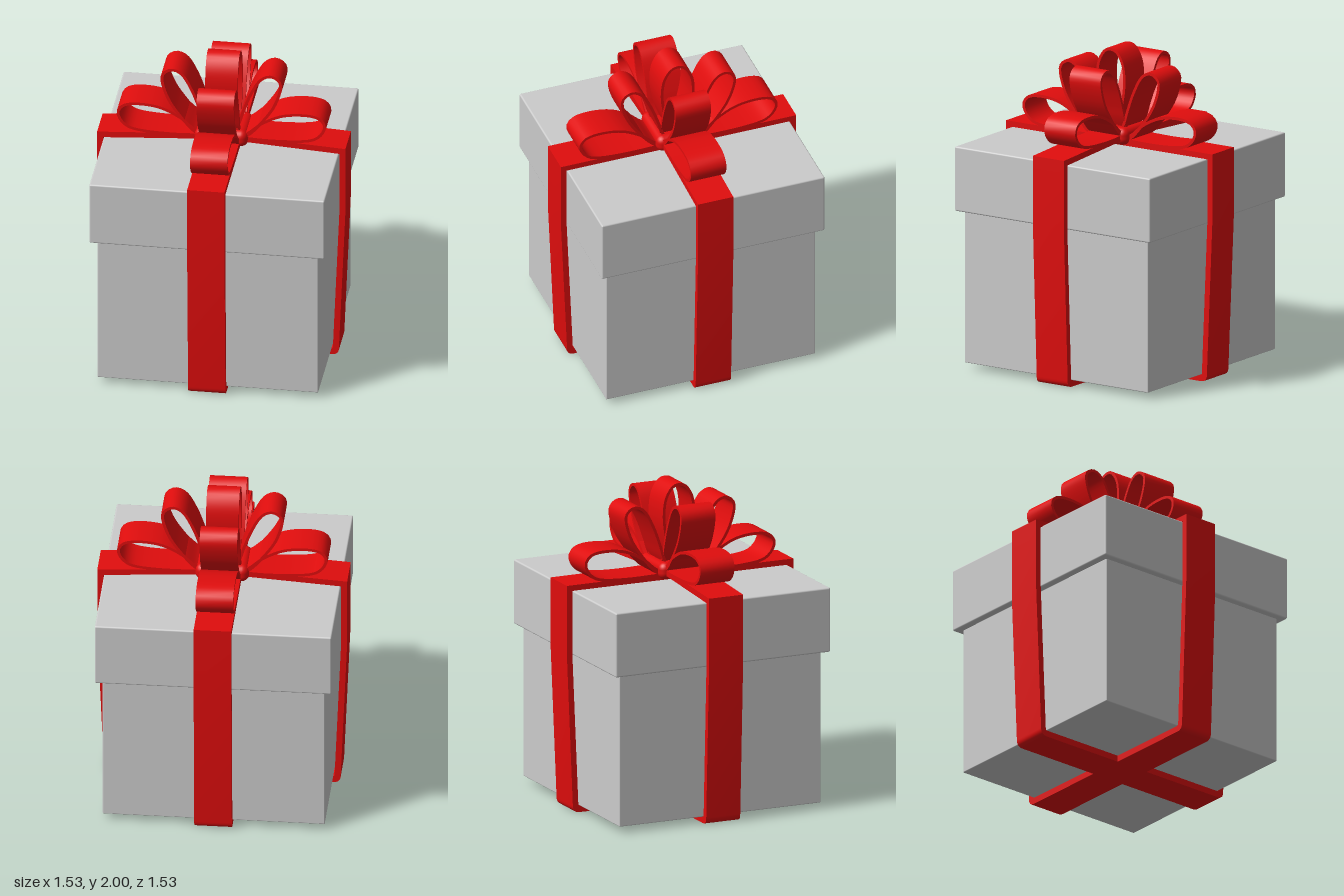
import * as THREE from 'three';
import { toCreasedNormals } from 'three/addons/utils/BufferGeometryUtils.js';
import { RoundedBoxGeometry } from 'three/addons/geometries/RoundedBoxGeometry.js';

const grey = new THREE.MeshStandardMaterial({ color: 0xcccccc });
const red = new THREE.MeshStandardMaterial({ color: 0xe00d0d });

function addMesh(parent, name, geometry, material) {
  const mesh = new THREE.Mesh(geometry, material);
  mesh.name = name;
  parent.add(mesh);
  return mesh;
}

function roundedBox(parent, name, w, h, d, r, bottom, material) {
  const mesh = addMesh(parent, name, new RoundedBoxGeometry(w, h, d, 3, r), material);
  mesh.position.y = bottom + h / 2;
  return mesh;
}

// Extrudes a shape in the xy plane, centred on z = 0
function extrude(shape, width) {
  const g = new THREE.ExtrudeGeometry(shape, { depth: width, bevelEnabled: false, curveSegments: 6 });
  g.translate(0, 0, -width / 2);
  return toCreasedNormals(g, 0.6);
}

// Thin ribbon of even thickness along a smooth open path
function ribbon(points, width, thickness = 0.018) {
  const curve = new THREE.SplineCurve(points.map(([x, y]) => new THREE.Vector2(x, y)));
  const outer = [], inner = [], n = 48;
  for (let i = 0; i <= n; i++) {
    const p = curve.getPointAt(i / n), t = curve.getTangentAt(i / n);
    const normal = new THREE.Vector2(-t.y, t.x).multiplyScalar(thickness / 2);
    outer.push(p.clone().add(normal));
    inner.unshift(p.clone().sub(normal));
  }
  return extrude(new THREE.Shape([...outer, ...inner]), width);
}

// Outline of the band around the box: half widths at lid and foot, rounded foot corners
function bandOutline(path, lid, foot, bottom, top, peak, r) {
  path.moveTo(-lid, top);
  path.lineTo(-lid, 1.0);
  path.lineTo(-foot, bottom + r);
  path.quadraticCurveTo(-foot, bottom, -foot + r, bottom);
  path.lineTo(foot - r, bottom);
  path.quadraticCurveTo(foot, bottom, foot, bottom + r);
  path.lineTo(lid, 1.0);
  path.lineTo(lid, top);
  path.lineTo(0.16, peak);
  path.lineTo(-0.16, peak);
  path.closePath();
  return path;
}

function band(rise) {
  const shape = bandOutline(new THREE.Shape(), 0.765, 0.725, 0.005, 1.44, 1.441 + rise, 0.045);
  shape.holes.push(bandOutline(new THREE.Path(), 0.728, 0.688, 0.046, 1.404, 1.405 + rise, 0.012));
  return extrude(shape, 0.23);
}

export function createModel() {
  const model = new THREE.Group();
  model.name = 'giftBox';

  // Box and overhanging lid
  roundedBox(model, 'box', 1.36, 0.99, 1.36, 0.006, 0.045, grey);
  roundedBox(model, 'lid', 1.45, 0.405, 1.45, 0.01, 1.0, grey);

  // Two crossing bands; the one along x climbs over the other under the bow
  addMesh(model, 'bandAcross', band(0.035), red);
  addMesh(model, 'bandFrontToBack', band(0), red).rotation.y = Math.PI / 2;

  // Bow
  const bow = new THREE.Group();
  bow.name = 'bow';
  model.add(bow);
  roundedBox(bow, 'knot', 0.33, 0.11, 0.3, 0.045, 1.41, red);

  const lowLoop = [[0.06, 1.46], [0.16, 1.5], [0.25, 1.575], [0.37, 1.635], [0.5, 1.653], [0.6, 1.637],
    [0.637, 1.58], [0.6, 1.51], [0.52, 1.475], [0.33, 1.462], [0.06, 1.467]];
  const highLoop = [[0.06, 1.46], [0.11, 1.57], [0.135, 1.65], [0.18, 1.77], [0.24, 1.875], [0.31, 1.905],
    [0.366, 1.85], [0.33, 1.71], [0.25, 1.585], [0.16, 1.485], [0.07, 1.455]];
  const lowGeometry = ribbon(lowLoop, 0.23);
  const highGeometry = ribbon(highLoop, 0.23);
  for (let i = 0; i < 4; i++) {
    const side = new THREE.Group();
    side.name = ['leftLoops', 'backLoops', 'rightLoops', 'frontLoops'][i];
    side.rotation.y = i * Math.PI / 2;
    side.position.y = i % 2 ? -0.026 : 0;
    addMesh(side, 'lowLoop', lowGeometry, red);
    addMesh(side, 'highLoop', highGeometry, red);
    bow.add(side);
  }

  // Upright loop in the middle
  const middle = [[-0.02, 1.46], [-0.07, 1.6], [-0.1, 1.76], [-0.092, 1.89], [-0.05, 1.97], [0, 1.991],
    [0.05, 1.97], [0.092, 1.89], [0.1, 1.76], [0.07, 1.6], [0.02, 1.46]];
  addMesh(bow, 'middleLoop', ribbon(middle, 0.2), red).rotation.y = Math.PI / 2;

  return model;
}
